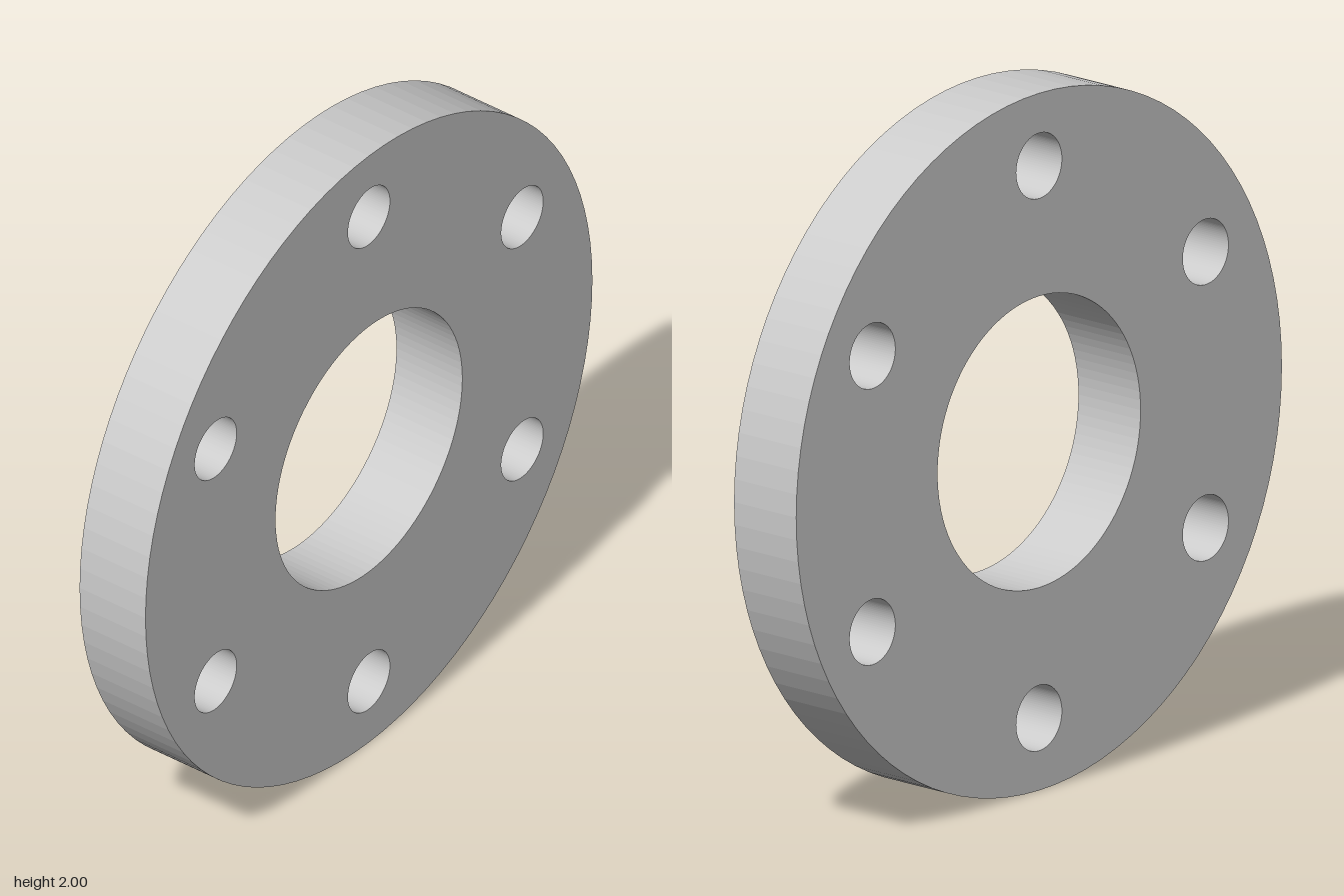
import * as THREE from 'three';

const OUTER_RADIUS = 1;
const BORE_RADIUS = 0.418;
const BOLT_RADIUS = 0.094;
const BOLT_CIRCLE = 0.792;
const BOLT_COUNT = 6;
const THICKNESS = 0.23;

// Circular cut-out
function circleHole(x, y, radius) {
  return new THREE.Path().absarc(x, y, radius, 0, Math.PI * 2, true);
}

export function createModel() {
  const model = new THREE.Group();
  model.name = 'flange';

  // Disc outline with the central bore
  const outline = new THREE.Shape().absarc(0, 0, OUTER_RADIUS, 0, Math.PI * 2, false);
  outline.holes.push(circleHole(0, 0, BORE_RADIUS));

  // Ring of bolt holes, the first at the top
  for (let i = 0; i < BOLT_COUNT; i++) {
    const angle = Math.PI / 2 + (i / BOLT_COUNT) * Math.PI * 2;
    outline.holes.push(circleHole(Math.cos(angle) * BOLT_CIRCLE, Math.sin(angle) * BOLT_CIRCLE, BOLT_RADIUS));
  }

  // Plate standing upright, centred through its thickness
  const geometry = new THREE.ExtrudeGeometry(outline, { depth: THICKNESS, bevelEnabled: false, curveSegments: 48 });
  geometry.translate(0, OUTER_RADIUS, -THICKNESS / 2);

  const plate = new THREE.Mesh(geometry, new THREE.MeshStandardMaterial({ color: 0xcccccc, flatShading: true }));
  plate.name = 'flangePlate';
  model.add(plate);
  return model;
}
